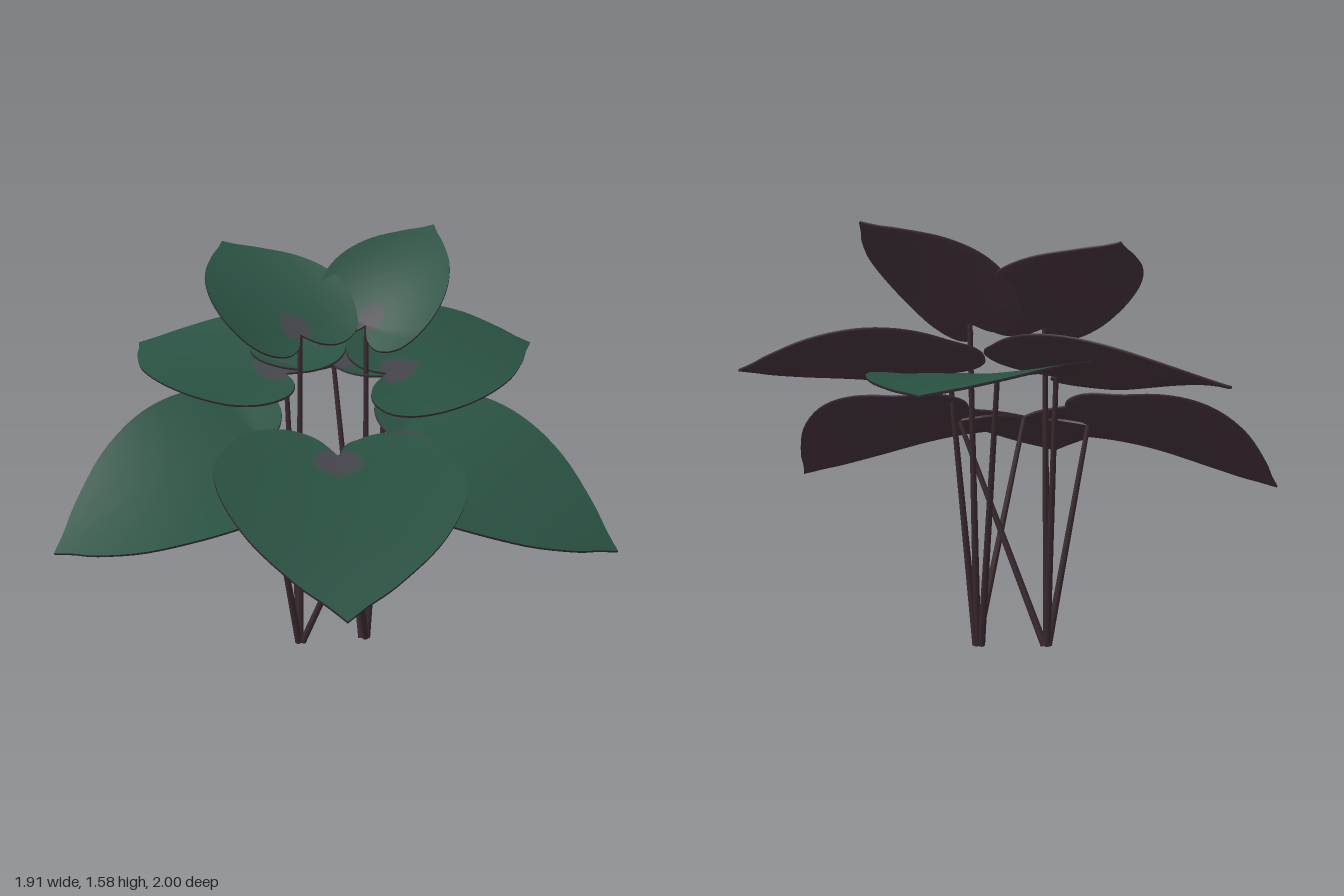
import * as THREE from 'three';

const paint = (name, color) => {
  const m = new THREE.MeshStandardMaterial({ color });
  m.name = name;
  return m;
};
const green = paint('leaf green', 0x285041);
const halo = paint('grey green halo', 0x384a46);
const mauve = paint('grey heart spot', 0x43444a);
const plum = paint('plum underside', 0x42313a);
const bark = paint('dark stem', 0x38292f);

// Half outline of a heart leaf: u runs from notch (0) to tip (1), v is the half width
const half = new THREE.SplineCurve([
  [0, 0], [-0.12, 0.18], [-0.17, 0.45], [-0.11, 0.76], [0.07, 0.95], [0.25, 1],
  [0.45, 0.92], [0.66, 0.7], [0.84, 0.37], [0.93, 0.15], [1, 0],
].map(([u, v]) => new THREE.Vector2(u, v))).getPoints(40);
const outline = [
  ...half.map((p) => [p.x, -p.y]),
  ...half.slice(0, -1).reverse().map((p) => [p.x, p.y]),
];
// Scale of each ring of the blade; the first two bands form the spot, the third its halo
const rings = [0, 0.09, 0.18, 0.22, 0.35, 0.5, 0.65, 0.8, 0.92, 1];
const bandPaint = (j) => (j < 2 ? 0 : j < 3 ? 1 : 2);
const THICKNESS = 0.008;

// Heart leaf blade spanned by notch, tip and half-width vector, cupped across and arched along.
// The underside lies a little lower and ends in a rim that meets the top's edge.
function bladeGeometry({ notch, tip, side, arch, cup }, underside) {
  const A = new THREE.Vector3(...notch);
  const U = new THREE.Vector3(...tip).sub(A);
  const V = new THREE.Vector3(...side);
  const N = U.clone().cross(V).normalize();
  if (N.y < 0) {
    V.negate();
    N.negate();
  }
  const g = new THREE.BufferGeometry();
  const pos = [];
  const index = [];
  const n = outline.length;
  const scales = underside ? [...rings, 1] : rings;
  scales.forEach((r, j) => {
    const drop = underside && j < rings.length ? THICKNESS : 0;
    for (const [ou, ov] of outline) {
      const u = ou * r, v = ov * r;
      const h = arch * Math.sin(Math.PI * Math.max(u, 0)) + cup * v * v - drop;
      const p = A.clone().addScaledVector(U, u).addScaledVector(V, v).addScaledVector(N, h);
      pos.push(p.x, p.y, p.z);
    }
  });
  const tri = (a, b, c) => (underside ? index.push(a, c, b) : index.push(a, b, c));
  for (let j = 0; j < scales.length - 1; j++) {
    const start = index.length;
    for (let i = 0; i < n - 1; i++) {
      const a = j * n + i, b = a + n;
      tri(a, b, b + 1);
      if (j > 0) tri(a, b + 1, a + 1);
    }
    g.addGroup(start, index.length - start, underside ? 0 : bandPaint(j));
  }
  g.setAttribute('position', new THREE.Float32BufferAttribute(pos, 3));
  g.setIndex(index);
  g.computeVertexNormals();
  return g;
}

// Straight tapered stem between two points
function stemMesh(from, to) {
  const a = new THREE.Vector3(...from), b = new THREE.Vector3(...to);
  b.y -= THICKNESS;
  const d = b.clone().sub(a);
  const mesh = new THREE.Mesh(new THREE.CylinderGeometry(0.009, 0.014, d.length(), 8), bark);
  mesh.position.copy(a).add(b).multiplyScalar(0.5);
  mesh.quaternion.setFromUnitVectors(new THREE.Vector3(0, 1, 0), d.normalize());
  mesh.name = 'stem';
  return mesh;
}

const leaves = [
  // Lower tier
  { name: 'lowerFrontLeaf', root: 0.2, notch: [0.03, 0.82, 0.21], tip: [-0.09, 0.525, 1.0], side: [0.425, -0.022, 0.035], arch: 0.05, cup: 0.035 },
  { name: 'lowerRightLeaf', root: -0.065, notch: [-0.21, 0.82, 0.05], tip: [-0.96, 0.535, 0.26], side: [0.1, -0.145, 0.36], arch: 0.06, cup: 0.04 },
  { name: 'lowerLeftLeaf', root: -0.05, notch: [0.27, 0.83, 0.08], tip: [0.955, 0.52, 0.53], side: [-0.21, -0.125, 0.325], arch: 0.06, cup: 0.03 },
  // Middle tier
  { name: 'middleLeftLeaf', root: 0.205, notch: [0.285, 1.04, -0.14], tip: [0.955, 1.09, -0.44], side: [0.04, -0.135, 0.335], arch: 0.03, cup: 0.03 },
  { name: 'middleBackLeaf', root: 0.185, notch: [0.11, 1.05, -0.29], tip: [0.3, 1.095, -1.0], side: [0.35, -0.03, 0.08], arch: 0.025, cup: 0.025 },
  { name: 'middleRightLeaf', root: -0.06, notch: [-0.09, 1.04, -0.21], tip: [-0.62, 1.085, -0.75], side: [-0.25, -0.11, 0.195], arch: 0.04, cup: 0.03 },
  // Upper tier
  { name: 'upperRightLeaf', root: -0.06, notch: [-0.05, 1.2, -0.12], tip: [-0.29, 1.51, -0.54], side: [0.25, 0.035, -0.11], arch: 0.02, cup: 0.05 },
  { name: 'upperLeftLeaf', root: 0.2, notch: [0.21, 1.22, -0.17], tip: [0.54, 1.57, -0.45], side: [0.18, -0.06, 0.15], arch: 0.02, cup: 0.05 },
];

export function createModel() {
  const model = new THREE.Group();
  model.name = 'heartLeafPlant';
  for (const leaf of leaves) {
    const group = new THREE.Group();
    group.name = leaf.name;
    const top = new THREE.Mesh(bladeGeometry(leaf, false), [mauve, halo, green]);
    top.name = 'bladeTop';
    const under = new THREE.Mesh(bladeGeometry(leaf, true), [plum]);
    under.name = 'bladeUnderside';
    group.add(top, under, stemMesh([leaf.root, 0, -0.08], leaf.notch));
    model.add(group);
  }
  return model;
}
